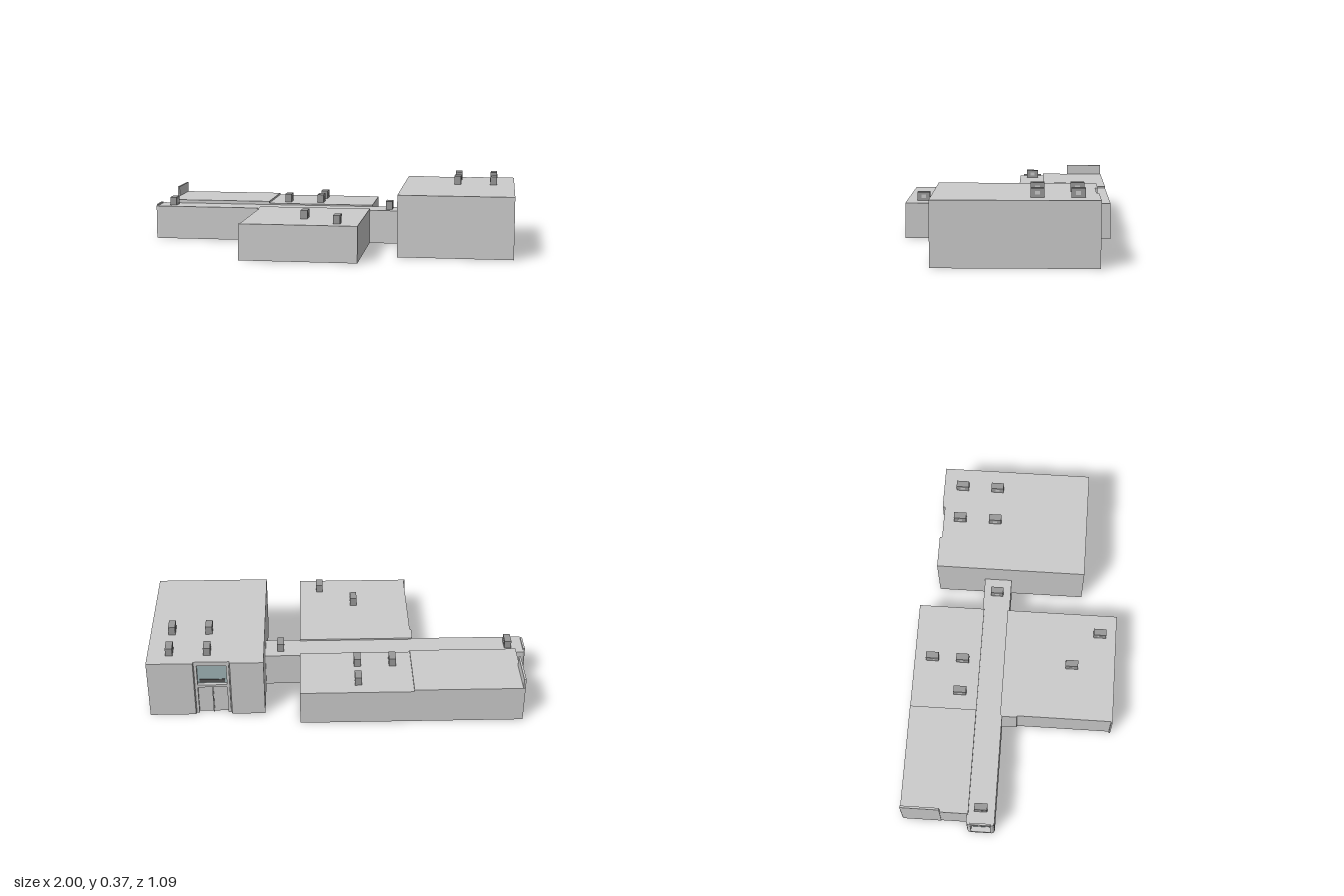
import * as THREE from 'three';

const grey = new THREE.MeshStandardMaterial({ color: 0xcccccc });
const metal = new THREE.MeshStandardMaterial({ color: 0x999999 });
const glass = new THREE.MeshStandardMaterial({ color: 0x9fb4b6 });
const dark = new THREE.MeshStandardMaterial({ color: 0x555555 });

// Box given by its limits on each axis
function box(parent, name, [x0, x1], [y0, y1], [z0, z1], material = grey) {
  const mesh = new THREE.Mesh(new THREE.BoxGeometry(x1 - x0, y1 - y0, z1 - z0), material);
  mesh.position.set((x0 + x1) / 2, (y0 + y1) / 2, (z0 + z1) / 2);
  mesh.name = name;
  parent.add(mesh);
  return mesh;
}

// Upright prism over a floor plan of [x, z] corners
function prism(parent, name, plan, y0, y1, material = grey) {
  const shape = new THREE.Shape(plan.map(([x, z]) => new THREE.Vector2(x, -z)));
  const geometry = new THREE.ExtrudeGeometry(shape, { depth: y1 - y0, bevelEnabled: false });
  geometry.rotateX(-Math.PI / 2);
  const mesh = new THREE.Mesh(geometry, material);
  mesh.position.y = y0;
  mesh.name = name;
  parent.add(mesh);
  return mesh;
}

// Rooftop ventilation unit with a grille on each long side
function roofUnit(x, y, z) {
  const unit = new THREE.Group();
  unit.name = 'roofUnit';
  box(unit, 'unitCasing', [-0.018, 0.018], [0, 0.045], [-0.034, 0.034], metal);
  for (const side of [-1, 1]) {
    const gx = side * 0.018;
    box(unit, 'unitGrille', [gx - 0.001, gx + 0.001], [0.013, 0.031], [-0.012, 0.012]);
  }
  unit.position.set(x, y, z);
  return unit;
}

// Tall hall with a glazed entrance recessed in its back wall
function createHall() {
  const hall = new THREE.Group();
  hall.name = 'hall';
  prism(hall, 'hallBody', [
    [0.397, 0.35], [0.998, 0.35], [0.998, -0.46], [0.76, -0.46], [0.75, -0.42],
    [0.58, -0.42], [0.57, -0.46], [0.397, -0.46],
  ], 0, 0.325);
  const z = [-0.447, -0.42];
  box(hall, 'entranceHeader', [0.57, 0.76], [0.3, 0.325], z);
  for (const x of [0.576, 0.742]) box(hall, 'entranceJamb', [x, x + 0.014], [0, 0.3], z);
  box(hall, 'entranceTransom', [0.59, 0.742], [0.165, 0.18], z);
  box(hall, 'entranceVent', [0.6, 0.732], [0.186, 0.204], [-0.432, -0.42], dark);
  box(hall, 'upperWindow', [0.59, 0.742], [0.18, 0.3], [-0.428, -0.42], glass);
  box(hall, 'entranceDoors', [0.59, 0.742], [0, 0.165], [-0.43, -0.42]);
  box(hall, 'doorMullion', [0.663, 0.669], [0, 0.165], [-0.438, -0.42]);
  return hall;
}

// Long low corridor ending in a glazed porch with rounded corners
function createCorridor() {
  const corridor = new THREE.Group();
  corridor.name = 'corridor';
  const near = -0.05, far = -0.198, end = -0.998, r = 0.018;
  box(corridor, 'corridorBody', [-0.95, 0.4], [0, 0.182], [far, near]);
  for (const [edge, inward] of [[near, -1], [far, 1]]) {
    const plan = [[-0.95, edge]];
    for (let i = 0; i <= 4; i++) {
      const a = (i / 4) * Math.PI / 2;
      plan.push([end + r - r * Math.sin(a), edge + inward * r * (1 - Math.cos(a))]);
    }
    plan.push([end, edge + inward * 0.022], [-0.95, edge + inward * 0.022]);
    prism(corridor, 'porchSide', inward < 0 ? plan : plan.reverse(), 0, 0.182);
  }
  const inner = [far + 0.02, near - 0.02];
  box(corridor, 'porchRoof', [end, -0.95], [0.162, 0.182], inner);
  box(corridor, 'porchSill', [end, -0.95], [0, 0.018], inner);
  box(corridor, 'porchGlass', [-0.97, -0.95], [0.018, 0.162], inner, glass);
  box(corridor, 'porchTransom', [-0.976, -0.95], [0.098, 0.106], inner);
  box(corridor, 'porchRim', [end, -0.988], [0.182, 0.19], inner);
  return corridor;
}

// Classroom wings on both sides of the corridor
function createWings() {
  const wings = new THREE.Group();
  wings.name = 'wings';
  box(wings, 'frontWing', [-0.392, 0.213], [0, 0.19], [-0.06, 0.545]);
  box(wings, 'frontWingPier', [-0.4, -0.392], [0, 0.19], [-0.055, 0.03]);
  box(wings, 'frontWingFin', [-0.4, -0.392], [0, 0.19], [0.537, 0.545]);
  box(wings, 'backWing', [-0.375, 0.213], [0, 0.19], [-0.547, -0.19]);
  box(wings, 'endWing', [-0.944, -0.375], [0, 0.2], [-0.547, -0.19]);
  box(wings, 'parapetWall', [-0.946, -0.935], [0, 0.255], [-0.545, -0.34]);
  return wings;
}

export function createModel() {
  const model = new THREE.Group();
  model.name = 'building';
  model.add(createHall(), createCorridor(), createWings());
  // Rooftop units by roof height
  const units = [
    [0.325, [[0.69, -0.355], [0.885, -0.355], [0.69, -0.16], [0.885, -0.16]]],
    [0.19, [[-0.09, -0.45], [-0.275, -0.285], [-0.09, -0.285], [-0.09, 0.31], [0.1, 0.455]]],
    [0.182, [[-0.907, -0.125], [0.316, -0.125]]],
  ];
  for (const [y, spots] of units) {
    for (const [x, z] of spots) model.add(roofUnit(x, y, z));
  }
  return model;
}
